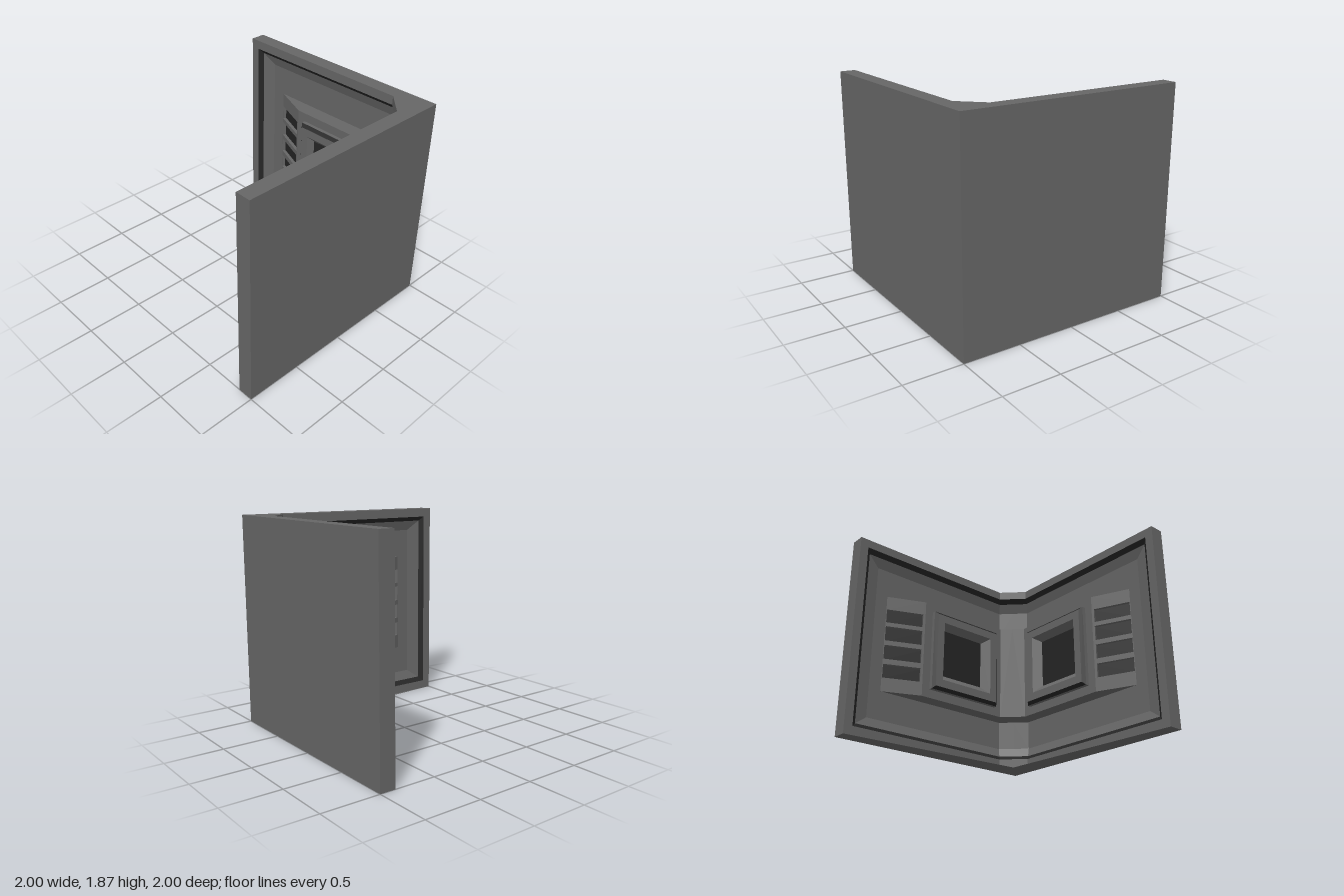
import * as THREE from 'three';

const main = new THREE.MeshStandardMaterial({ color: 0x666666 });
main.name = 'wallGrey';
const dark = new THREE.MeshStandardMaterial({ color: 0x252525 });
dark.name = 'darkTrim';

// A part is a list of convex faces, each fanned from its first corner.
// The mirrored copy swaps the two walls across the corner's diagonal.
function makePart(name, faces, material, mirrored) {
  const pos = [];
  const put = ([x, y, z]) => (mirrored ? pos.push(-z, y, -x) : pos.push(x, y, z));
  for (const f of faces) {
    for (let i = 1; i < f.length - 1; i++) {
      put(f[0]);
      put(f[mirrored ? i + 1 : i]);
      put(f[mirrored ? i : i + 1]);
    }
  }
  const g = new THREE.BufferGeometry();
  g.setAttribute('position', new THREE.Float32BufferAttribute(pos, 3));
  g.computeVertexNormals();
  const mesh = new THREE.Mesh(g, material);
  mesh.name = name;
  return mesh;
}

// Strip of faces between an outer and an inner outline (counter-clockwise)
function bridge(outer, inner, closed) {
  const faces = [];
  const n = outer.length;
  for (let i = 0; i < (closed ? n : n - 1); i++) {
    const j = (i + 1) % n;
    faces.push([outer[i], outer[j], inner[j], inner[i]]);
  }
  return faces;
}

const rect = (x0, x1, y0, y1, z) => [[x0, y0, z], [x1, y0, z], [x1, y1, z], [x0, y1, z]];

// Open outline running from the corner diagonal round the free end and back;
// c places the 45 degree corner face on the line x - z = c
function outline(left, y0, y1, z, c) {
  return [
    [c / 2, y1, -c / 2], [c + z, y1, z], [left, y1, z],
    [left, y0, z], [c + z, y0, z], [c / 2, y0, -c / 2],
  ];
}

const H = 1.87, FACE = -0.865, FLOOR = -0.932, HUB = -0.79;
const HUB_Y0 = 0.47, HUB_Y1 = 1.40;

function wallFaces() {
  const edge = outline(-1, 0, H, FACE, 1.54);
  const rim = outline(-0.92, 0.08, 1.79, FACE, 1.54);
  const step = outline(-0.88, 0.12, 1.75, -0.9, 1.605);
  const floor = outline(-0.76, 0.205, 1.66, FLOOR, 1.66);
  const shell = bridge(edge, rim);

  // back, free end, top and bottom
  shell.push([[1, 0, -1], [-1, 0, -1], [-1, H, -1], [1, H, -1]]);
  shell.push([[-1, 0, -1], [-1, 0, FACE], [-1, H, FACE], [-1, H, -1]]);
  const cap = (y) => [[1, y, -1], [-1, y, -1], [-1, y, FACE], [0.675, y, FACE], [0.77, y, -0.77]];
  shell.push(cap(H), cap(0).reverse());

  // recess slope and floor, left open under the raised panel
  const recess = bridge(step, floor);
  for (const [a, b] of [[0.205, HUB_Y0], [HUB_Y1, 1.66]]) {
    recess.push(rect(-0.76, 0.728, a, b, FLOOR));
    recess.push([[0.728, a, FLOOR], [0.83, a, -0.83], [0.83, b, -0.83], [0.728, b, FLOOR]]);
  }
  recess.push(rect(-0.76, -0.64, HUB_Y0, HUB_Y1, FLOOR));
  return { shell, recess, groove: bridge(rim, step) };
}

function panelFaces() {
  const panel = [], vents = [];
  // front, corner face, top and bottom of the raised panel
  panel.push(rect(-0.3, 0.62, HUB_Y0, HUB_Y1, HUB));
  panel.push([[0.62, HUB_Y0, HUB], [0.705, HUB_Y0, -0.705], [0.705, HUB_Y1, -0.705], [0.62, HUB_Y1, HUB]]);
  const cap = (y) => [
    [0.728, y, FLOOR], [-0.64, y, FLOOR], [-0.3, y, HUB],
    [0.62, y, HUB], [0.705, y, -0.705], [0.83, y, -0.83],
  ];
  panel.push(cap(HUB_Y1), cap(HUB_Y0).reverse());

  // sloped end with four sunken vents
  const k = (HUB - FLOOR) / 0.34;
  const slope = (x, y) => [x, y, FLOOR + k * (x + 0.64)];
  const patch = (x0, x1, y0, y1) => [slope(x0, y0), slope(x1, y0), slope(x1, y1), slope(x0, y1)];
  const sink = ([x, y, z]) => [x + 0.0115, y, z - 0.0277];
  const ys = [HUB_Y0, 0.6, 0.73, 0.78, 0.915, 0.96, 1.1, 1.14, 1.27, HUB_Y1];
  panel.push(patch(-0.64, -0.635, HUB_Y0, HUB_Y1), patch(-0.32, -0.3, HUB_Y0, HUB_Y1));
  for (let i = 0; i < ys.length - 1; i++) {
    const p = patch(-0.635, -0.32, ys[i], ys[i + 1]);
    if (i % 2 === 0) {
      panel.push(p);
    } else {
      const q = p.map(sink);
      panel.push(...bridge(p, q, true));
      vents.push(q);
    }
  }
  return { panel, vents };
}

function screenFaces() {
  const base = rect(-0.22, 0.54, 0.55, 1.32, HUB);
  const side = rect(-0.22, 0.54, 0.55, 1.32, -0.755);
  const front = rect(-0.193, 0.513, 0.577, 1.293, -0.727);
  const lip = rect(-0.12, 0.44, 0.65, 1.22, -0.727);
  const glass = rect(-0.085, 0.36, 0.71, 1.165, -0.785);
  return {
    frame: [...bridge(base, side, true), ...bridge(front, lip, true), ...bridge(lip, glass, true)],
    bevel: bridge(side, front, true),
    glass: [glass],
  };
}

export function createModel() {
  const model = new THREE.Group();
  model.name = 'cornerWall';
  const wall = wallFaces(), panel = panelFaces(), screen = screenFaces();
  for (const mirrored of [false, true]) {
    const half = new THREE.Group();
    half.name = mirrored ? 'sideWall' : 'backWall';
    const add = (name, faces, material) => half.add(makePart(name, faces, material, mirrored));
    add('wallShell', wall.shell, main);
    add('recess', wall.recess, main);
    add('recessGroove', wall.groove, dark);
    add('raisedPanel', panel.panel, main);
    add('vents', panel.vents, dark);
    add('screenFrame', screen.frame, main);
    add('screenBevel', screen.bevel, dark);
    add('screen', screen.glass, dark);
    model.add(half);
  }
  return model;
}
